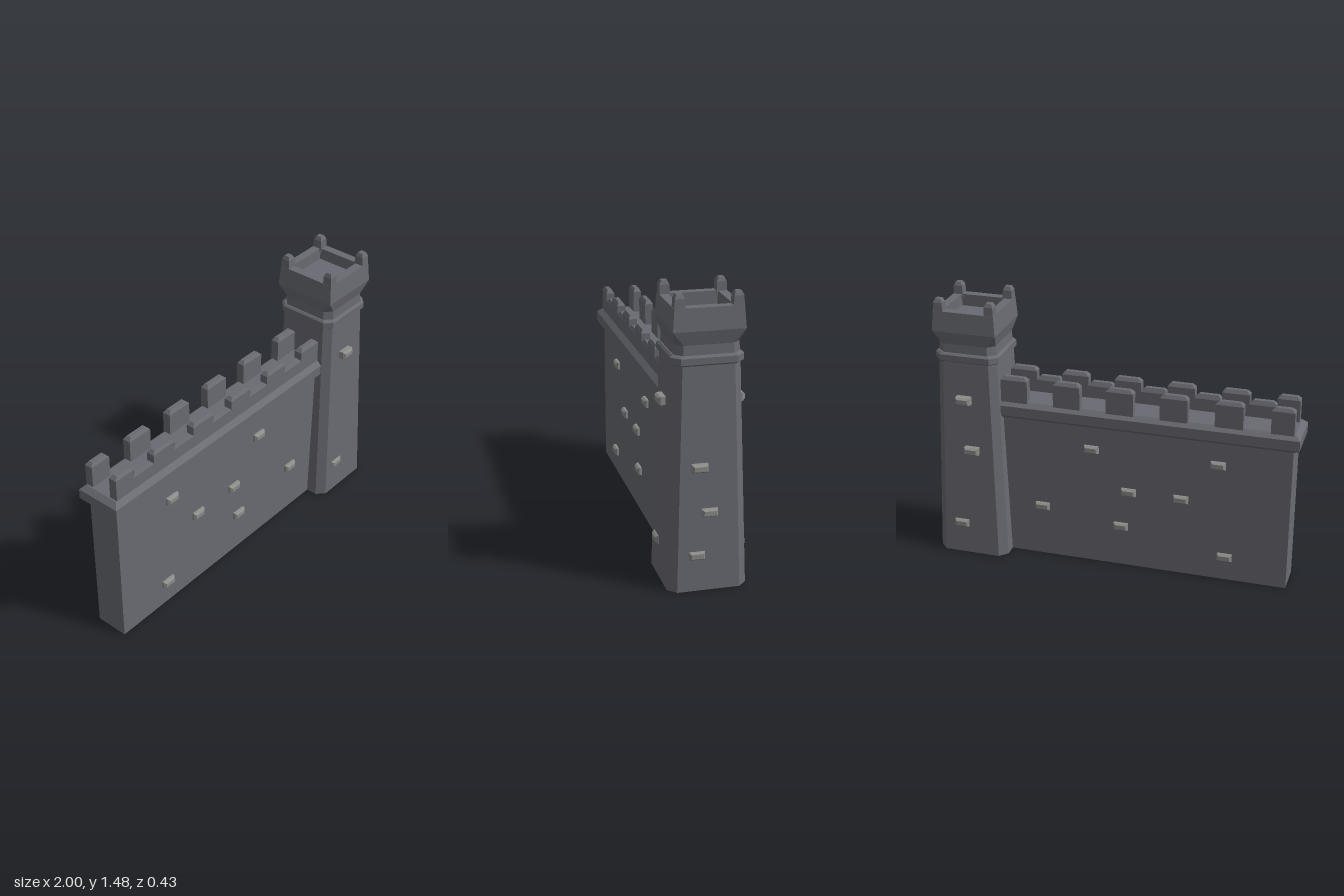
import * as THREE from 'three';

const stone = new THREE.MeshStandardMaterial({ color: 0x6a6b72 });
stone.name = 'darkStone';
const brick = new THREE.MeshStandardMaterial({ color: 0x8c8d89 });
brick.name = 'paleBrick';

// Stacks rectangles with cut corners: each level is [y, halfX, halfZ, cornerCut]
function loft(levels) {
  const rings = levels.map(([y, hx, hz, c = 0]) => [
    [hx, -hz + c], [hx, hz - c], [hx - c, hz], [-hx + c, hz],
    [-hx, hz - c], [-hx, -hz + c], [-hx + c, -hz], [hx - c, -hz],
  ].map(([x, z]) => [x, y, z]));
  const pos = [];
  const tri = (a, b, c) => pos.push(...a, ...b, ...c);
  for (let r = 0; r < rings.length - 1; r++) {
    const lo = rings[r], hi = rings[r + 1];
    for (let i = 0; i < 8; i++) {
      const j = (i + 1) % 8;
      tri(lo[i], hi[i], hi[j]);
      tri(lo[i], hi[j], lo[j]);
    }
  }
  const bottom = rings[0], top = rings[rings.length - 1];
  for (let i = 1; i < 7; i++) {
    tri(bottom[0], bottom[i], bottom[i + 1]);
    tri(top[0], top[i + 1], top[i]);
  }
  const g = new THREE.BufferGeometry();
  g.setAttribute('position', new THREE.Float32BufferAttribute(pos, 3));
  g.computeVertexNormals();
  return g;
}

export function createModel() {
  const model = new THREE.Group();
  model.name = 'castleWallWithTower';

  const add = (name, geometry, material, x, y, z, parent = model) => {
    const m = new THREE.Mesh(geometry, material);
    m.name = name;
    m.position.set(x, y, z);
    parent.add(m);
    return m;
  };

  // Wall and its bevelled ledge
  const wallZ = 0.008, wallHalf = 0.091;
  add('wall', loft([[0, 0.807, wallHalf], [0.83, 0.807, wallHalf]]), stone, -0.158, 0, wallZ);
  add('ledge', loft([
    [0.81, 0.795, 0.095], [0.835, 0.825, 0.127],
    [0.89, 0.825, 0.127], [0.915, 0.797, 0.1],
  ]), stone, -0.175, 0, wallZ);

  // Merlons on both edges, with low sills between those of the front edge
  const block = (w, top, cut) => loft([
    [0.9, w / 2, 0.023], [top - cut, w / 2, 0.023], [top, w / 2 - cut, 0.012],
  ]);
  const battlements = new THREE.Group();
  battlements.name = 'battlements';
  model.add(battlements);
  for (let i = 0; i < 6; i++) {
    const left = i === 0 ? -0.965 : -0.993 + i * 0.2925;
    const right = -0.845 + i * 0.2925;
    for (const z of [0.085, -0.077]) {
      add('merlon', block(right - left, 1.052, 0.018), stone, (left + right) / 2, 0, z, battlements);
    }
    if (i < 5) add('sill', block(0.15, 1.008, 0.024), stone, right + 0.072, 0, 0.085, battlements);
  }

  // Tapered tower with cut corners
  const tower = new THREE.Group();
  tower.name = 'tower';
  tower.position.set(0.788, 0, 0.004);
  model.add(tower);
  add('shaft', loft([[0, 0.199, 0.199, 0.042], [1.14, 0.164, 0.164, 0.037]]), stone, 0, 0, 0, tower);
  add('ring', loft([
    [1.132, 0.168, 0.168, 0.038], [1.14, 0.177, 0.177, 0.04],
    [1.172, 0.177, 0.177, 0.04], [1.182, 0.167, 0.167, 0.038],
  ]), stone, 0, 0, 0, tower);
  // Flared head with a sunken floor
  add('head', loft([
    [1.17, 0.162, 0.162, 0.038], [1.23, 0.159, 0.159, 0.038],
    [1.3, 0.176, 0.176, 0], [1.41, 0.168, 0.168, 0],
    [1.41, 0.122, 0.122, 0], [1.345, 0.122, 0.122, 0],
  ]), stone, 0, 0, 0, tower);
  const post = loft([[1.39, 0.027, 0.027], [1.455, 0.024, 0.024], [1.475, 0.015, 0.015]]);
  for (const sx of [-1, 1]) for (const sz of [-1, 1]) {
    add('cornerPost', post, stone, sx * 0.141, 0, sz * 0.141, tower);
  }

  // Protruding bricks, facing out along +z before they are turned
  const brickShape = loft([
    [-0.06, 0.04, 0.021], [-0.012, 0.04, 0.021], [0, 0.03, 0.012],
  ]).rotateX(Math.PI / 2);
  const addBrick = (x, y, z, turn) => {
    add('brick', brickShape, brick, x, y, z).rotation.y = turn;
  };
  const wallBricks = [
    [-0.577, 0.683], [0.117, 0.683], [-0.38, 0.454], [-0.09, 0.454],
    [-0.048, 0.24], [0.4, 0.3], [-0.627, 0.139],
  ];
  for (const [x, y] of wallBricks) {
    addBrick(x, y, wallZ + wallHalf + 0.024, 0);
    addBrick(x, y, wallZ - wallHalf - 0.024, Math.PI);
  }
  addBrick(0.77, 0.924, 0.213, 0);
  addBrick(0.72, 0.183, 0.213, 0);
  for (const [x, y] of [[0.8, 0.924], [0.765, 0.633], [0.84, 0.183]]) {
    addBrick(x, y, -0.212, Math.PI);
  }
  for (const [z, y] of [[0.05, 0.633], [0, 0.403], [0.062, 0.184]]) {
    addBrick(0.998, y, z, Math.PI / 2);
  }
  return model;
}
